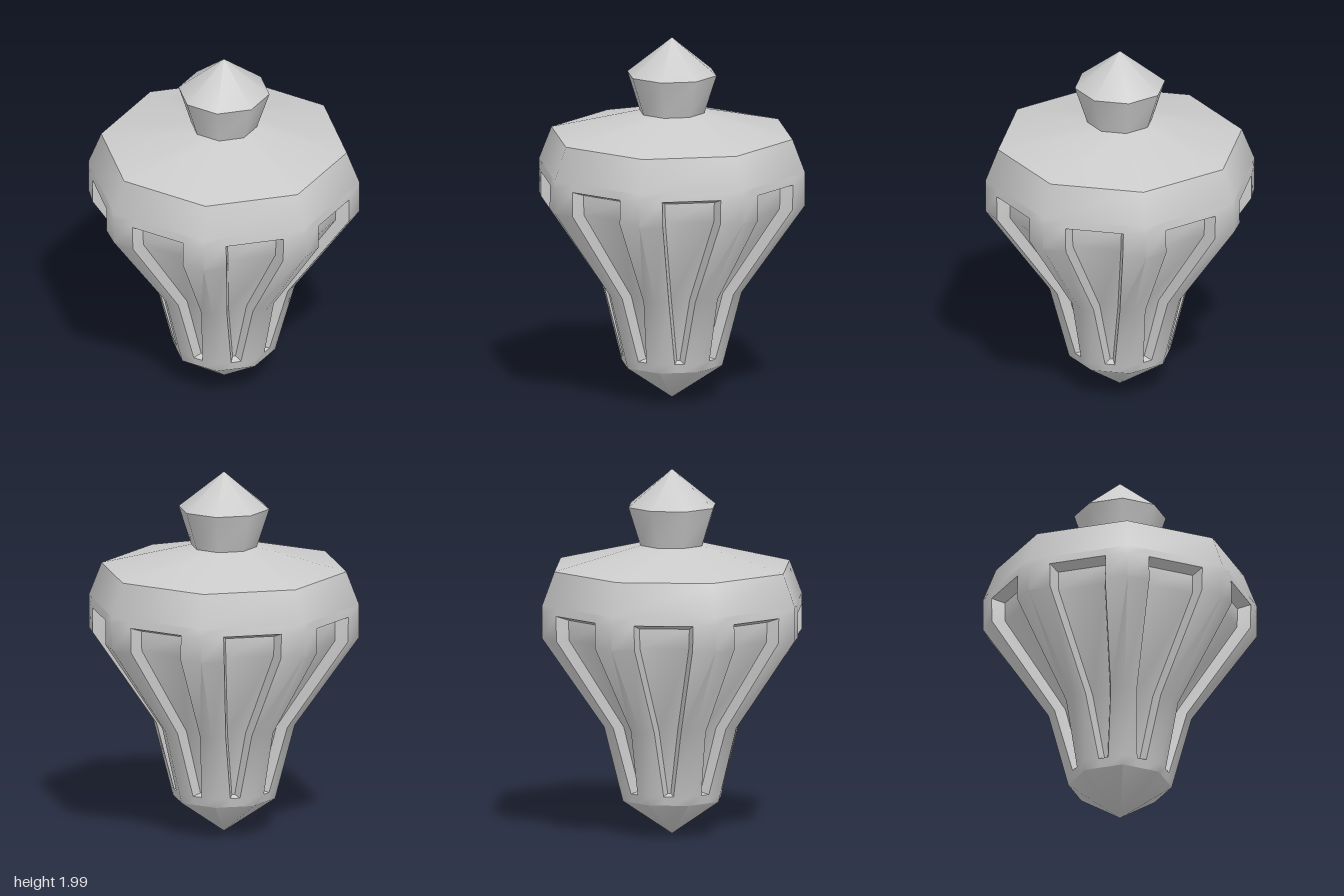
import * as THREE from 'three';
import { toCreasedNormals } from 'three/addons/utils/BufferGeometryUtils.js';

const SIDES = 8;
const APOTHEM = Math.cos(Math.PI / SIDES);
const HALF = Math.sin(Math.PI / SIDES);

// point on side i: u along the side, y up, n out from the axis
function point(i, u, y, n) {
  const a = (i + 0.5) * 2 * Math.PI / SIDES;
  return [Math.sin(a) * n + Math.cos(a) * u, y, Math.cos(a) * n - Math.sin(a) * u];
}

// collects faces (corners anticlockwise from outside), then makes a mesh
function makeBuilder() {
  const pos = [];
  const tri = (a, b, c) => pos.push(...a, ...b, ...c);
  const quad = (a, b, c, d) => { tri(a, b, c); tri(a, c, d); };
  const mesh = (name) => {
    const g = new THREE.BufferGeometry();
    g.setAttribute('position', new THREE.Float32BufferAttribute(pos, 3));
    const m = new THREE.Mesh(toCreasedNormals(g, 0.87),
      new THREE.MeshStandardMaterial({ color: 0xcccccc }));
    m.name = name;
    return m;
  };
  return { tri, quad, mesh };
}

// eight-sided turned band through [radius, y] points, bottom to top
function addRings(b, profile) {
  for (let i = 0; i < SIDES; i++) {
    for (let k = 0; k + 1 < profile.length; k++) {
      const [r0, y0] = profile[k], [r1, y1] = profile[k + 1];
      const at = (r, y, s) => point(i, s * r * HALF, y, r * APOTHEM);
      const bl = at(r0, y0, -1), br = at(r0, y0, 1);
      const tl = at(r1, y1, -1), tr = at(r1, y1, 1);
      if (r0 === 0) b.tri(bl, tr, tl);
      else if (r1 === 0) b.tri(bl, br, tl);
      else b.quad(bl, br, tr, tl);
    }
  }
}

// panelled part of the body: radius, height, slot half width, rim lift
const ROWS = [
  [0.28, 0.2, 0.027, 0],
  [0.293, 0.25, 0.027, 0],
  [0.387, 0.61, 0.072, 0],
  [0.74, 1.11, 0.157, 0.008],
  [0.74, 1.245, 0.16, 0.008],
  [0.74, 1.29, 0.16, 0],
];
// slot floor: half width, height, depth, one per slot row
const FLOOR = [
  [0.008, 0.262, 0.045],
  [0.05, 0.615, 0.055],
  [0.132, 1.112, 0.06],
  [0.135, 1.22, 0.06],
];

export function createModel() {
  const group = new THREE.Group();

  // body shell with tapering openings on every side
  const body = makeBuilder();
  addRings(body, [[0, 0.01], [0.28, 0.2]]);
  addRings(body, [[0.74, 1.29], [0.67, 1.47], [0.18, 1.59]]);
  const rim = (i, k, s) => {
    const [r, y, w, lift] = ROWS[k];
    return point(i, s * w, y, r * APOTHEM + lift);
  };
  const corner = (i, k, s) => point(i, s * ROWS[k][0] * HALF, ROWS[k][1], ROWS[k][0] * APOTHEM);
  for (let i = 0; i < SIDES; i++) {
    for (let k = 0; k + 1 < ROWS.length; k++) {
      body.quad(corner(i, k, -1), rim(i, k, -1), rim(i, k + 1, -1), corner(i, k + 1, -1));
      body.quad(rim(i, k, 1), corner(i, k, 1), corner(i, k + 1, 1), rim(i, k + 1, 1));
      if (k === 0 || k === ROWS.length - 2) {
        body.quad(rim(i, k, -1), rim(i, k, 1), rim(i, k + 1, 1), rim(i, k + 1, -1));
      }
    }
  }
  group.add(body.mesh('body'));

  // sunken panels: sloping walls and a floor inside each opening
  const panels = makeBuilder();
  const floor = (i, j, s) => {
    const [w, y, depth] = FLOOR[j];
    return point(i, s * w, y, ROWS[j + 1][0] * APOTHEM - depth);
  };
  const last = FLOOR.length - 1;
  for (let i = 0; i < SIDES; i++) {
    for (let j = 0; j < last; j++) {
      panels.quad(floor(i, j, -1), floor(i, j, 1), floor(i, j + 1, 1), floor(i, j + 1, -1));
      panels.quad(rim(i, j + 1, -1), floor(i, j, -1), floor(i, j + 1, -1), rim(i, j + 2, -1));
      panels.quad(floor(i, j, 1), rim(i, j + 1, 1), rim(i, j + 2, 1), floor(i, j + 1, 1));
    }
    panels.quad(rim(i, 1, -1), rim(i, 1, 1), floor(i, 0, 1), floor(i, 0, -1));
    panels.quad(floor(i, last, -1), floor(i, last, 1), rim(i, last + 1, 1), rim(i, last + 1, -1));
  }
  group.add(panels.mesh('sunkenPanels'));

  // flared knob with a pointed top
  const knob = makeBuilder();
  addRings(knob, [[0.18, 1.59], [0.248, 1.8], [0, 2]]);
  group.add(knob.mesh('knob'));

  return group;
}
